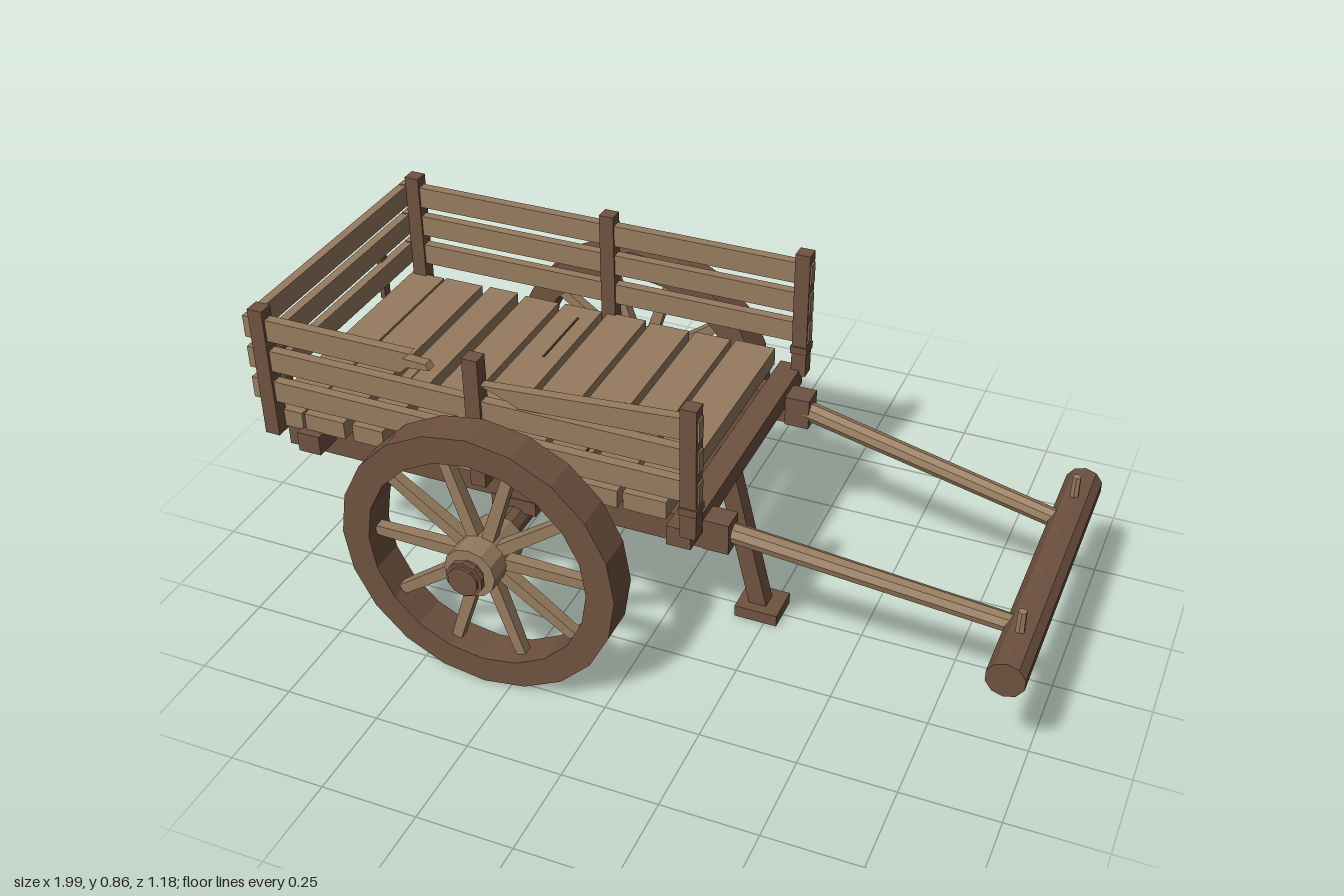
import * as THREE from 'three';

const mat = (name, color) => Object.assign(new THREE.MeshStandardMaterial({ color, flatShading: true }), { name });
const V = (x, y, z) => new THREE.Vector3(x, y, z);

export function createModel() {
  const cart = new THREE.Group();
  cart.name = 'handCart';
  const light = mat('weatheredPlank', 0x967b5e);
  const dark = mat('darkTimber', 0x6f5240);
  const crackMat = mat('crack', 0x4e3a2c);

  const add = (name, geo, m, parent = cart) => {
    const mesh = new THREE.Mesh(geo, m);
    mesh.name = name;
    parent.add(mesh);
    return mesh;
  };
  // box given by its minimum and maximum on each axis
  const box = (name, m, x0, x1, y0, y1, z0, z1, parent) => {
    const b = add(name, new THREE.BoxGeometry(x1 - x0, y1 - y0, z1 - z0), m, parent);
    b.position.set((x0 + x1) / 2, (y0 + y1) / 2, (z0 + z1) / 2);
    return b;
  };
  // straight bar from a to b; 4 sides gives a square beam
  const bar = (name, m, a, b, r0, r1, sides, parent) => {
    const g = new THREE.CylinderGeometry(r1, r0, a.distanceTo(b), sides);
    if (sides === 4) g.rotateY(Math.PI / 4);
    const c = add(name, g, m, parent);
    c.position.copy(a).lerp(b, 0.5);
    c.quaternion.setFromUnitVectors(V(0, 1, 0), b.clone().sub(a).normalize());
    return c;
  };

  // bed frame
  for (const s of [-1, 1]) {
    const z = s * 0.288;
    box('bedRail', dark, -0.96, 0.245, 0.42, 0.5, z - 0.028, z + 0.028);
    box('axleBlock', dark, -0.38, -0.26, 0.385, 0.425, z - 0.03, z + 0.03);
  }
  for (const x of [-0.85, 0.15]) box('crossBeam', dark, x - 0.031, x + 0.031, 0.466, 0.52, -0.39, 0.39);

  // floor planks
  const floor = [[-0.975, -0.875], [-0.867, -0.755], [-0.73, -0.645], [-0.62, -0.52], [-0.5, -0.39],
    [-0.37, -0.26], [-0.245, -0.135], [-0.115, -0.015], [0, 0.11]];
  floor.forEach(([a, b], i) => {
    const y = 0.002 * (i % 3);
    box('floorPlank', light, a, b, 0.516 + y, 0.564 + y, -0.368, 0.368);
  });
  box('floorCrack', crackMat, -0.437, -0.432, 0.56, 0.569, -0.31, -0.1);
  box('floorCrack', crackMat, -0.702, -0.697, 0.56, 0.569, 0.05, 0.23);
  box('floorCrack', crackMat, -0.152, -0.148, 0.56, 0.569, 0.02, 0.25);

  // corner and middle posts, slatted sides
  const slats = [[0.602, 0.66], [0.69, 0.748], [0.776, 0.835]];
  for (const s of [-1, 1]) {
    for (const x of [-0.947, -0.367, 0.178]) {
      box('post', dark, x - 0.02, x + 0.02, 0.505, 0.862, s * 0.38 - 0.02, s * 0.38 + 0.02);
    }
    box('postCollar', dark, 0.155, 0.201, 0.572, 0.592, s * 0.38 - 0.024, s * 0.38 + 0.024);
    slats.forEach(([y0, y1], i) => {
      if (s === 1 && i === 2) return;
      box('sidePlank', light, -0.99, 0.202, y0, y1, s * 0.379 - 0.013, s * 0.379 + 0.013);
    });
  }

  // broken top plank: stub with a splintered end, and a sagging piece
  const splinter = new THREE.Shape([[-0.99, 0.776], [-0.56, 0.776], [-0.54, 0.795], [-0.48, 0.8],
    [-0.49, 0.815], [-0.55, 0.818], [-0.53, 0.835], [-0.99, 0.835]].map(([x, y]) => new THREE.Vector2(x, y)));
  add('brokenPlank', new THREE.ExtrudeGeometry(splinter, { depth: 0.026, bevelEnabled: false }), light).position.z = 0.366;
  const sag = new THREE.Shape([[-0.25, 0.752], [0.202, 0.776], [0.202, 0.835], [-0.35, 0.792],
    [-0.3, 0.775]].map(([x, y]) => new THREE.Vector2(x, y)));
  add('saggingPlank', new THREE.ExtrudeGeometry(sag, { depth: 0.026, bevelEnabled: false }), light).position.z = 0.366;

  // tailboard with two outer battens
  for (const [y0, y1] of slats) box('tailPlank', light, -0.99, -0.966, y0, y1, -0.362, 0.362);
  for (const z of [-0.247, 0.247]) box('tailBatten', dark, -1, -0.986, 0.545, 0.7, z - 0.014, z + 0.014);

  // axle and wheels
  const cx = -0.32, cy = 0.365, R = 0.365;
  bar('axle', dark, V(cx, cy, -0.58), V(cx, cy, 0.58), 0.036, 0.036, 10);
  const circle = (r) => Array.from({ length: 20 }, (_, i) =>
    new THREE.Vector2(r * Math.cos(i * Math.PI / 10), r * Math.sin(i * Math.PI / 10)));
  const ring = new THREE.Shape(circle(R));
  ring.holes.push(new THREE.Path(circle(0.292)));
  const rimGeo = new THREE.ExtrudeGeometry(ring, { depth: 0.096, bevelEnabled: false }).translate(0, 0, -0.048);
  for (const s of [-1, 1]) {
    const wheel = new THREE.Group();
    wheel.name = s > 0 ? 'leftWheel' : 'rightWheel';
    wheel.position.set(cx, cy, s * 0.478);
    cart.add(wheel);
    add('rim', rimGeo, dark, wheel);
    for (let i = 0; i < 10; i++) {
      const a = i * Math.PI / 5, c = Math.cos(a), d = Math.sin(a);
      bar('spoke', light, V(c * 0.05, d * 0.05, 0), V(c * 0.3, d * 0.3, 0), 0.023, 0.019, 4, wheel);
    }
    bar('hub', light, V(0, 0, -s * 0.078), V(0, 0, s * 0.077), 0.068, 0.068, 12, wheel);
    bar('hubCap', dark, V(0, 0, s * 0.09), V(0, 0, s * 0.105), 0.049, 0.049, 10, wheel);
    bar('axleEnd', dark, V(0, 0, s * 0.07), V(0, 0, s * 0.113), 0.04, 0.04, 10, wheel);
  }

  // pulling shafts, handle bar and pegs
  for (const s of [-1, 1]) {
    box('shaftSocket', dark, 0.182, 0.247, 0.418, 0.502, s * 0.285 - 0.031, s * 0.285 + 0.031);
    bar('shaft', light, V(0.16, 0.472, s * 0.286), V(0.945, 0.342, s * 0.215), 0.026, 0.024, 8);
    bar('peg', light, V(0.945, 0.36, s * 0.28), V(0.945, 0.442, s * 0.28), 0.012, 0.011, 6);
  }
  bar('handleBar', dark, V(0.947, 0.338, -0.405), V(0.947, 0.338, 0.405), 0.048, 0.048, 10);

  // prop leg and foot
  bar('propLeg', dark, V(0.115, 0.475, 0), V(0.224, 0.02, 0), 0.033, 0.033, 4);
  box('propFoot', dark, 0.168, 0.284, 0, 0.033, -0.052, 0.052);

  return cart;
}
